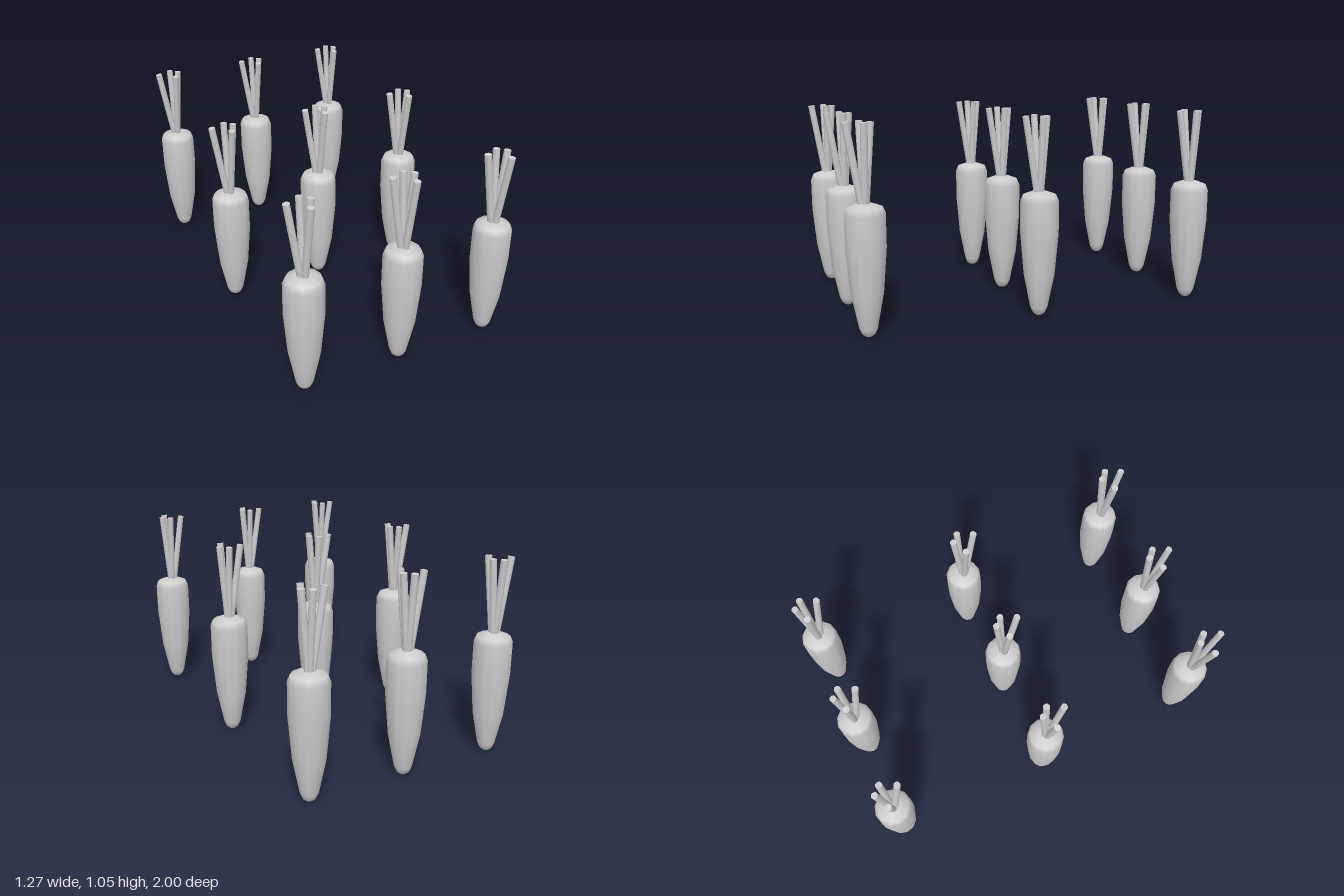
import * as THREE from 'three';

export function createModel() {
  const model = new THREE.Group();
  model.name = 'carrotPatch';
  const grey = new THREE.MeshStandardMaterial({ color: 0xcccccc });
  grey.name = 'plain grey';

  // Root profile from tip to crown: radius, height
  const profile = [
    [0, 0], [0.018, 0.004], [0.033, 0.016], [0.046, 0.045], [0.081, 0.22],
    [0.1, 0.44], [0.1, 0.61], [0.086, 0.643], [0.04, 0.66], [0, 0.66],
  ].map(([r, y]) => new THREE.Vector2(r, y));
  const rootGeometry = new THREE.LatheGeometry(profile, 12);

  // Stalks lean outwards: base x, z and top x, z
  const stalks = [
    [-0.016, 0, -0.08, 0],
    [0.006, 0, 0.038, 0],
    [0, 0.016, 0, 0.08],
    [0, -0.006, 0, -0.038],
  ];
  const baseY = 0.655, topY = 1.046;
  const up = new THREE.Vector3(0, 1, 0);

  function makeCarrot() {
    const carrot = new THREE.Group();
    carrot.name = 'carrot';
    const root = new THREE.Mesh(rootGeometry, grey);
    root.name = 'root';
    carrot.add(root);
    for (const [bx, bz, tx, tz] of stalks) {
      const base = new THREE.Vector3(bx, baseY, bz);
      const top = new THREE.Vector3(tx, topY, tz);
      const axis = top.clone().sub(base);
      const stalk = new THREE.Mesh(new THREE.CylinderGeometry(0.018, 0.018, axis.length(), 8), grey);
      stalk.name = 'stalk';
      stalk.position.copy(base).add(top).multiplyScalar(0.5);
      stalk.quaternion.setFromUnitVectors(up, axis.normalize());
      carrot.add(stalk);
    }
    return carrot;
  }

  // Three rows of three
  for (const x of [-0.535, 0, 0.535]) {
    for (const z of [-0.9, 0, 0.9]) {
      const carrot = makeCarrot();
      carrot.position.set(x, 0, z);
      model.add(carrot);
    }
  }
  return model;
}
